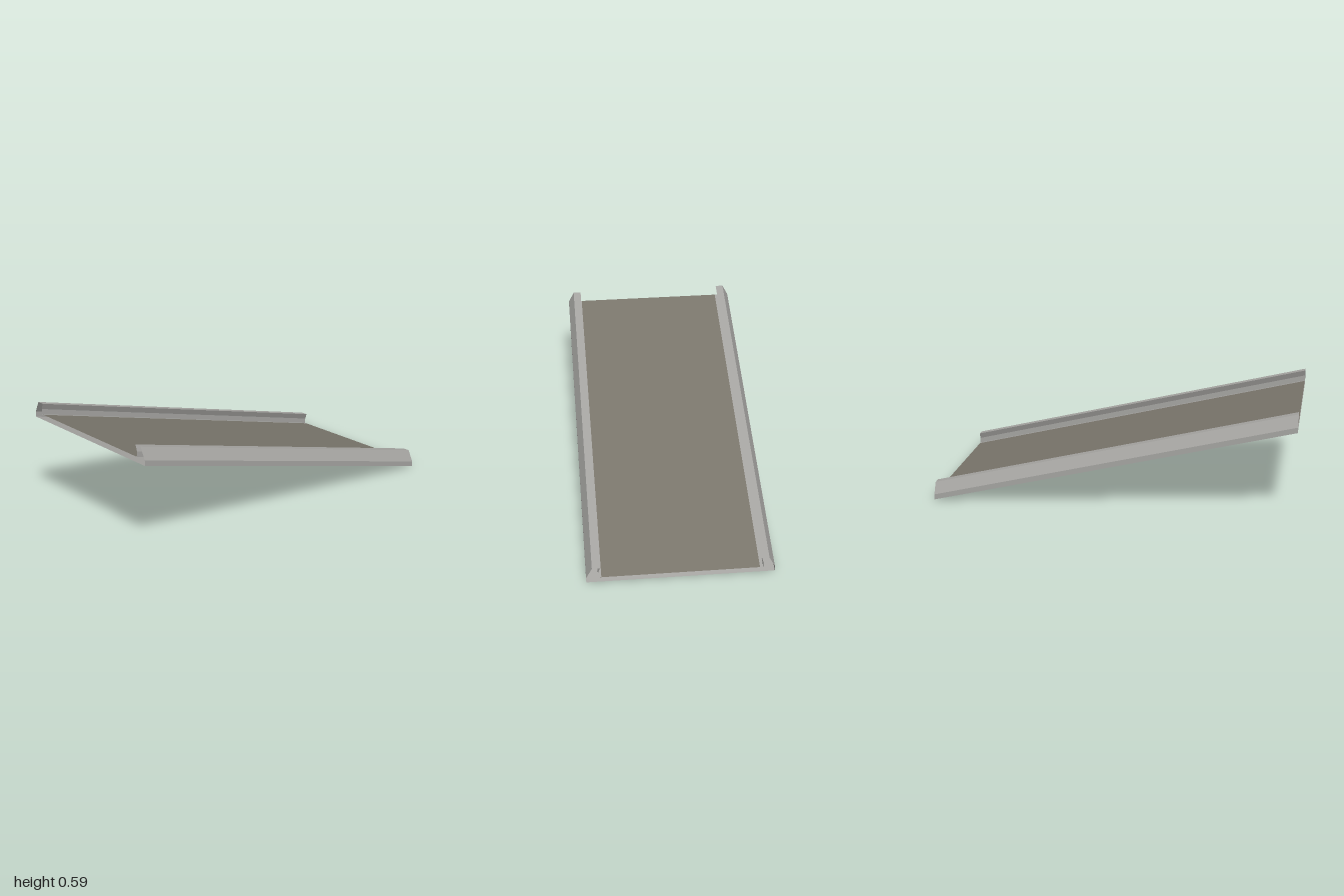
import * as THREE from 'three';

const HALF_LENGTH = 1;
const SLOPE = 0.25; // rise per unit of z

// Sweeps an open cross-section along the sloping length, leaving the ends open.
function sweep(name, profile, material) {
  const positions = [];
  const at = ([x, y], z) => [x, y + (z + HALF_LENGTH) * SLOPE, z];
  for (let i = 0; i < profile.length - 1; i++) {
    const a = at(profile[i], HALF_LENGTH);
    const b = at(profile[i], -HALF_LENGTH);
    const c = at(profile[i + 1], -HALF_LENGTH);
    const d = at(profile[i + 1], HALF_LENGTH);
    positions.push(...a, ...b, ...c, ...a, ...c, ...d);
  }
  const geometry = new THREE.BufferGeometry();
  geometry.setAttribute('position', new THREE.Float32BufferAttribute(positions, 3));
  geometry.computeVertexNormals();
  const mesh = new THREE.Mesh(geometry, material);
  mesh.name = name;
  return mesh;
}

export function createModel() {
  const metal = new THREE.MeshStandardMaterial({ name: 'light grey metal', color: 0xa6a5a2, side: THREE.DoubleSide });
  const deck = new THREE.MeshStandardMaterial({ name: 'brown grey deck', color: 0x7a766c, side: THREE.DoubleSide });

  // Hollow side rail: upright, bevel, flat top, undercut lip and narrow foot
  const rail = [
    [0.5, 0], [0.5, 0.03], [0.468, 0.093], [0.425, 0.093],
    [0.437, 0.06], [0.437, 0.03], [0.42, 0.031],
  ];
  const mirroredRail = rail.map(([x, y]) => [-x, y]).reverse();

  const ramp = new THREE.Group();
  ramp.name = 'ramp';
  ramp.add(
    sweep('leftRail', rail, metal),
    sweep('rightRail', mirroredRail, metal),
    sweep('underside', [[-0.5, 0], [0.5, 0]], metal),
    sweep('walkway', [[0.437, 0.03], [-0.437, 0.03]], deck),
  );
  return ramp;
}
